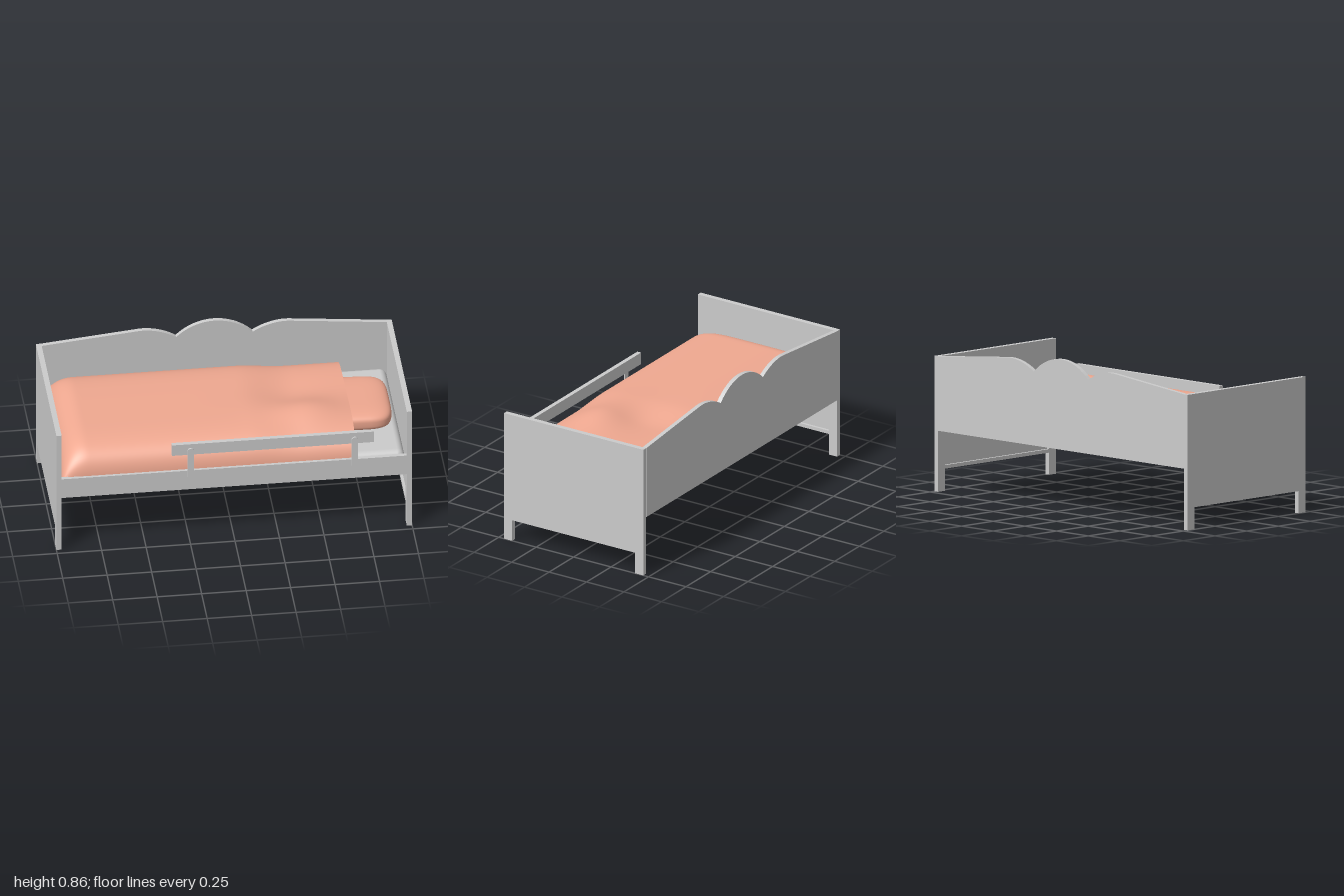
import * as THREE from 'three';
import { RoundedBoxGeometry } from 'three/addons/geometries/RoundedBoxGeometry.js';

const wood = new THREE.MeshStandardMaterial({ color: 0xcccccc });
const sheet = new THREE.MeshStandardMaterial({ color: 0xf4f4f4 });
const cloth = new THREE.MeshStandardMaterial({ color: 0xefa890, side: THREE.DoubleSide });

function add(parent, name, geometry, material = wood) {
  const mesh = new THREE.Mesh(geometry, material);
  mesh.name = name;
  parent.add(mesh);
  return mesh;
}

// Box given by its low and high limits on each axis
function box([x0, x1], [y0, y1], [z0, z1]) {
  return new THREE.BoxGeometry(x1 - x0, y1 - y0, z1 - z0)
    .translate((x0 + x1) / 2, (y0 + y1) / 2, (z0 + z1) / 2);
}

const extrude = (shape, depth) =>
  new THREE.ExtrudeGeometry(shape, { depth, bevelEnabled: false, curveSegments: 16 });

// End panel outline with two legs; x of the shape runs along the bed's z
function endShape() {
  return new THREE.Shape([
    [-0.465, 0], [-0.41, 0], [-0.41, 0.125], [0.41, 0.125],
    [0.41, 0], [0.465, 0], [0.465, 0.765], [-0.465, 0.765],
  ].map(([x, y]) => new THREE.Vector2(x, y)));
}

// Solid outer board with a framed, recessed lower field on the inside
function addEnd(parent, side) {
  const end = new THREE.Group();
  end.name = side > 0 ? 'headEnd' : 'footEnd';
  const framed = endShape();
  framed.holes.push(new THREE.Path([
    [-0.41, 0.145], [-0.41, 0.35], [0.41, 0.35], [0.41, 0.145],
  ].map(([x, y]) => new THREE.Vector2(x, y))));
  add(end, 'endBoard', extrude(endShape(), 0.015)).position.z = 0.985;
  add(end, 'endFrame', extrude(framed, 0.015)).position.z = 0.97;
  end.rotation.y = side * Math.PI / 2;
  parent.add(end);
}

// Back board with a three-lobed top edge
function backBoard() {
  const s = new THREE.Shape();
  s.moveTo(-0.97, 0.345);
  s.lineTo(0.97, 0.345);
  s.lineTo(0.97, 0.765);
  s.lineTo(0.42, 0.82);
  s.bezierCurveTo(0.35, 0.825, 0.27, 0.8, 0.215, 0.762);
  s.bezierCurveTo(0.09, 0.886, -0.09, 0.886, -0.215, 0.762);
  s.bezierCurveTo(-0.27, 0.8, -0.35, 0.825, -0.42, 0.82);
  s.lineTo(-0.97, 0.765);
  return extrude(s, 0.025).translate(0, 0, -0.466);
}

// Flat bracket with round ends
function bracket(x) {
  const r = 0.018, s = new THREE.Shape();
  s.absarc(x, 0.602, r, 0, Math.PI);
  s.absarc(x, 0.433, r, Math.PI, Math.PI * 2);
  return extrude(s, 0.008).translate(0, 0, 0.461);
}

// Domed cover, steep at the sides and foot, open at the head
function blanketGeometry() {
  const g = new THREE.PlaneGeometry(2, 2, 72, 56).rotateX(-Math.PI / 2);
  const p = g.attributes.position;
  const bump = (x, z, cx, cz, rx, rz) =>
    Math.exp(-(((x - cx) / rx) ** 2) - ((z - cz) / rz) ** 2);
  for (let i = 0; i < p.count; i++) {
    const x = -0.968 + 1.658 * ((p.getX(i) + 1) / 2) ** 1.8;
    const v = Math.sin(p.getZ(i) * Math.PI / 2);
    const z = 0.003 + 0.447 * v;
    const foot = Math.max(0, 1 - (x + 0.968) / 0.16);
    const rise = Math.max(0, 1 - foot ** 2) ** 0.4 * Math.max(0, 1 - Math.abs(v) ** 5) ** 0.35;
    const dent = 0.028 * THREE.MathUtils.smoothstep(x, 0.1, 0.4)
      + 0.015 * bump(x, z, 0.35, -0.05, 0.2, 0.15)
      - 0.05 * bump(x, z, 0.45, 0.17, 0.2, 0.15);
    p.setXYZ(i, x, 0.4 + (0.228 - dent) * rise, z);
  }
  g.computeVertexNormals();
  return g;
}

// Cushion: a sphere pushed out towards a box
function pillowGeometry() {
  const g = new THREE.SphereGeometry(1, 48, 32);
  const p = g.attributes.position;
  const swell = (v, e) => Math.sign(v) * Math.abs(v) ** e;
  for (let i = 0; i < p.count; i++) {
    const x = swell(p.getX(i), 0.45), z = swell(p.getZ(i), 0.45);
    p.setXYZ(i, 0.715 + 0.215 * x, 0.53 + 0.058 * swell(p.getY(i), 0.6) - 0.004 * x, -0.003 + 0.225 * z);
  }
  g.computeVertexNormals();
  return g;
}

export function createModel() {
  const bed = new THREE.Group();
  bed.name = 'bed';

  // Frame
  for (const side of [-1, 1]) addEnd(bed, side);
  add(bed, 'backBoard', backBoard());
  add(bed, 'frontRail', box([-0.97, 0.97], [0.345, 0.47], [0.44, 0.463]));
  add(bed, 'baseBoard', box([-0.97, 0.97], [0.355, 0.375], [-0.441, 0.44]));

  // Guard rail on two brackets
  add(bed, 'guardRail', box([-0.35, 0.785], [0.575, 0.645], [0.436, 0.461]));
  for (const x of [-0.244, 0.678]) add(bed, 'guardBracket', bracket(x));

  // Bedding
  const mattress = add(bed, 'mattress', new RoundedBoxGeometry(1.92, 0.1, 0.87, 5, 0.04), sheet);
  mattress.position.set(0.003, 0.426, 0);
  add(bed, 'pillow', pillowGeometry(), cloth);
  add(bed, 'blanket', blanketGeometry(), cloth);
  return bed;
}
